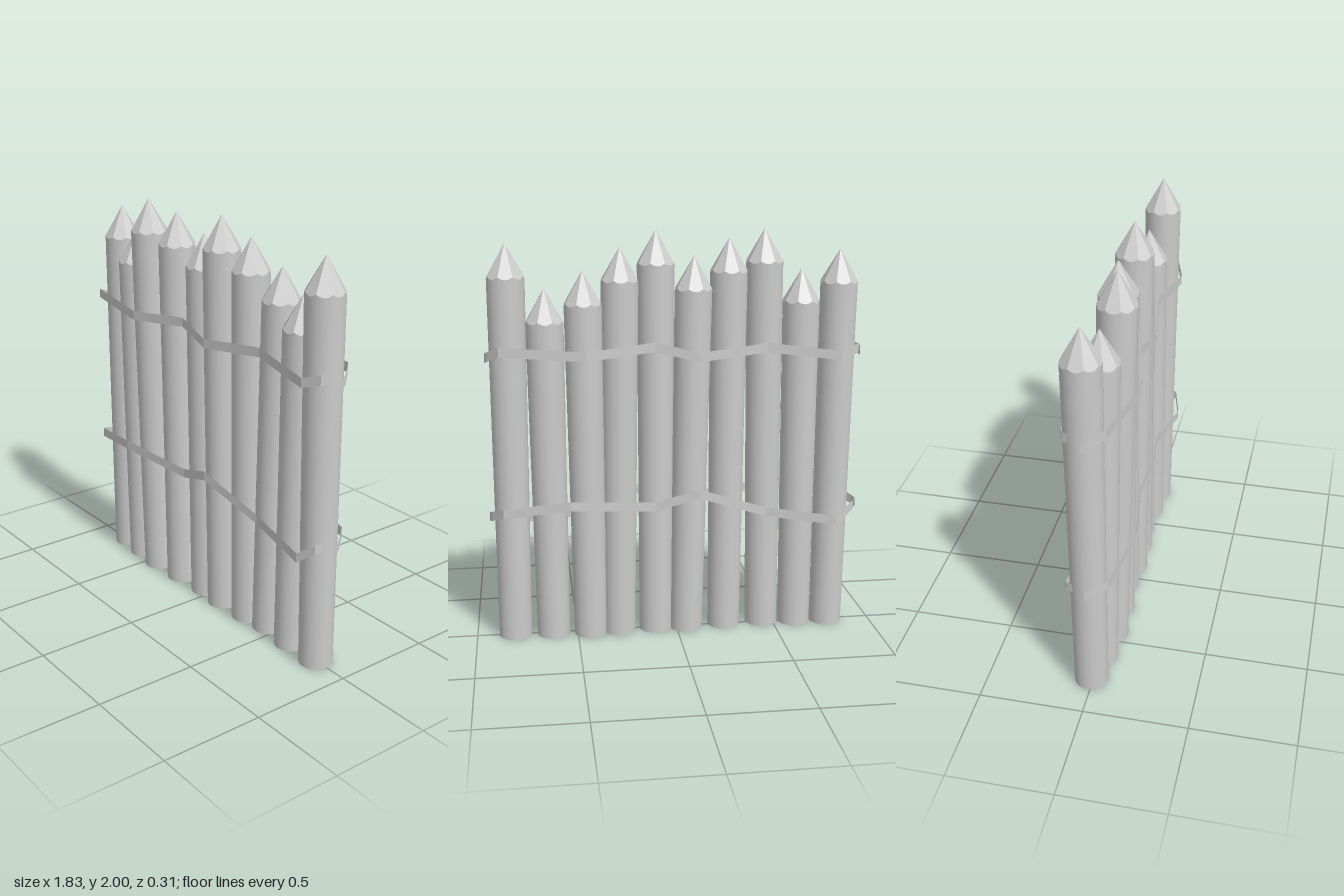
import * as THREE from 'three';

const wood = new THREE.MeshStandardMaterial({ color: 0xcccccc });
const strap = new THREE.MeshStandardMaterial({ color: 0xcccccc, side: THREE.DoubleSide, flatShading: true });

const SEGMENTS = 32, FACETS = 8, TIP = 0.165, STRAP_HEIGHT = 0.046;

// Each stake: tip x, tip y, tip z, foot x, foot z
const STAKES = [
  [-0.795, 1.905, -0.025, -0.775, -0.01],
  [-0.617, 1.81, 0.013, -0.61, 0],
  [-0.44, 2.0, 0.052, -0.442, 0.015],
  [-0.26, 1.96, 0.013, -0.245, 0.005],
  [-0.085, 1.88, -0.022, -0.05, -0.01],
  [0.095, 2.0, 0.013, 0.105, 0],
  [0.27, 1.925, -0.022, 0.29, -0.01],
  [0.45, 1.82, -0.057, 0.435, -0.025],
  [0.63, 1.735, -0.025, 0.62, -0.01],
  [0.805, 1.945, 0.013, 0.81, 0],
];

// Strap paths along the front: x, y, z
const STRAPS = {
  upperStrap: [
    [-0.917, 1.405, 0], [-0.905, 1.415, 0.03], [-0.85, 1.445, 0.092], [-0.44, 1.425, 0.155],
    [-0.11, 1.455, 0.09], [0.1, 1.405, 0.12], [0.44, 1.437, 0.065], [0.79, 1.4, 0.12],
    [0.88, 1.43, 0.09], [0.893, 1.435, 0.06],
  ],
  lowerStrap: [
    [-0.917, 0.622, 0], [-0.905, 0.63, 0.03], [-0.85, 0.658, 0.097], [-0.53, 0.7, 0.153],
    [-0.11, 0.665, 0.09], [0.1, 0.73, 0.12], [0.44, 0.61, 0.065], [0.79, 0.568, 0.12],
    [0.88, 0.635, 0.09], [0.893, 0.643, 0.06],
  ],
};

// Height of the scalloped edge where flat knife cuts meet the round stake
function cutHeight(apex, x, z) {
  const step = (Math.PI * 2) / FACETS;
  const angle = Math.atan2(x, z);
  return apex - TIP * Math.cos(angle - Math.round(angle / step) * step);
}

// Lean the upright part from its foot towards its tip
function lean(geometry, [tipX, tipY, tipZ, footX, footZ]) {
  const p = geometry.attributes.position;
  for (let i = 0; i < p.count; i++) {
    const t = p.getY(i) / tipY;
    p.setX(i, p.getX(i) + footX + (tipX - footX) * t);
    p.setZ(i, p.getZ(i) + footZ + (tipZ - footZ) * t);
  }
  return geometry;
}

function makeStake(data) {
  const apex = data[1], topRadius = 0.09;
  const stake = new THREE.Group();
  stake.name = 'stake';

  // Tapered round shaft with a scalloped upper rim
  const shaft = new THREE.CylinderGeometry(topRadius, 0.081, 2, SEGMENTS, 1, true);
  shaft.translate(0, 1, 0);
  let p = shaft.attributes.position;
  for (let i = 0; i < p.count; i++) {
    if (p.getY(i) > 1) p.setY(i, cutHeight(apex, p.getX(i), p.getZ(i)));
  }
  const shaftMesh = new THREE.Mesh(lean(shaft, data), wood);
  shaftMesh.name = 'shaft';

  // Flat base
  const base = new THREE.CircleGeometry(0.081, SEGMENTS);
  base.rotateX(Math.PI / 2);
  const baseMesh = new THREE.Mesh(lean(base, data), wood);
  baseMesh.name = 'base';

  // Sharpened tip of flat cuts
  let tip = new THREE.ConeGeometry(topRadius, 1, SEGMENTS, 1, true);
  p = tip.attributes.position;
  for (let i = 0; i < p.count; i++) {
    p.setY(i, p.getY(i) > 0 ? apex : cutHeight(apex, p.getX(i), p.getZ(i)));
  }
  tip = lean(tip, data).toNonIndexed();
  tip.computeVertexNormals();
  const tipMesh = new THREE.Mesh(tip, wood);
  tipMesh.name = 'tip';

  stake.add(shaftMesh, baseMesh, tipMesh);
  return stake;
}

// Upright ribbon swept along a path
function strapGeometry(path) {
  const positions = [], index = [];
  path.forEach(([x, y, z], i) => {
    positions.push(x, y - STRAP_HEIGHT / 2, z, x, y + STRAP_HEIGHT / 2, z);
    if (i > 0) {
      const a = 2 * i - 2;
      index.push(a, a + 2, a + 3, a, a + 3, a + 1);
    }
  });
  const indexed = new THREE.BufferGeometry();
  indexed.setAttribute('position', new THREE.Float32BufferAttribute(positions, 3));
  indexed.setIndex(index);
  const geometry = indexed.toNonIndexed();
  geometry.computeVertexNormals();
  return geometry;
}

export function createModel() {
  const fence = new THREE.Group();
  fence.name = 'palisade';

  for (const data of STAKES) fence.add(makeStake(data));

  // The back straps are the front ones turned half way round
  for (const [name, path] of Object.entries(STRAPS)) {
    const geometry = strapGeometry(path);
    for (const side of ['front', 'back']) {
      const mesh = new THREE.Mesh(geometry, strap);
      mesh.name = side + name[0].toUpperCase() + name.slice(1);
      mesh.rotation.y = side === 'back' ? Math.PI : 0;
      fence.add(mesh);
    }
  }
  return fence;
}
